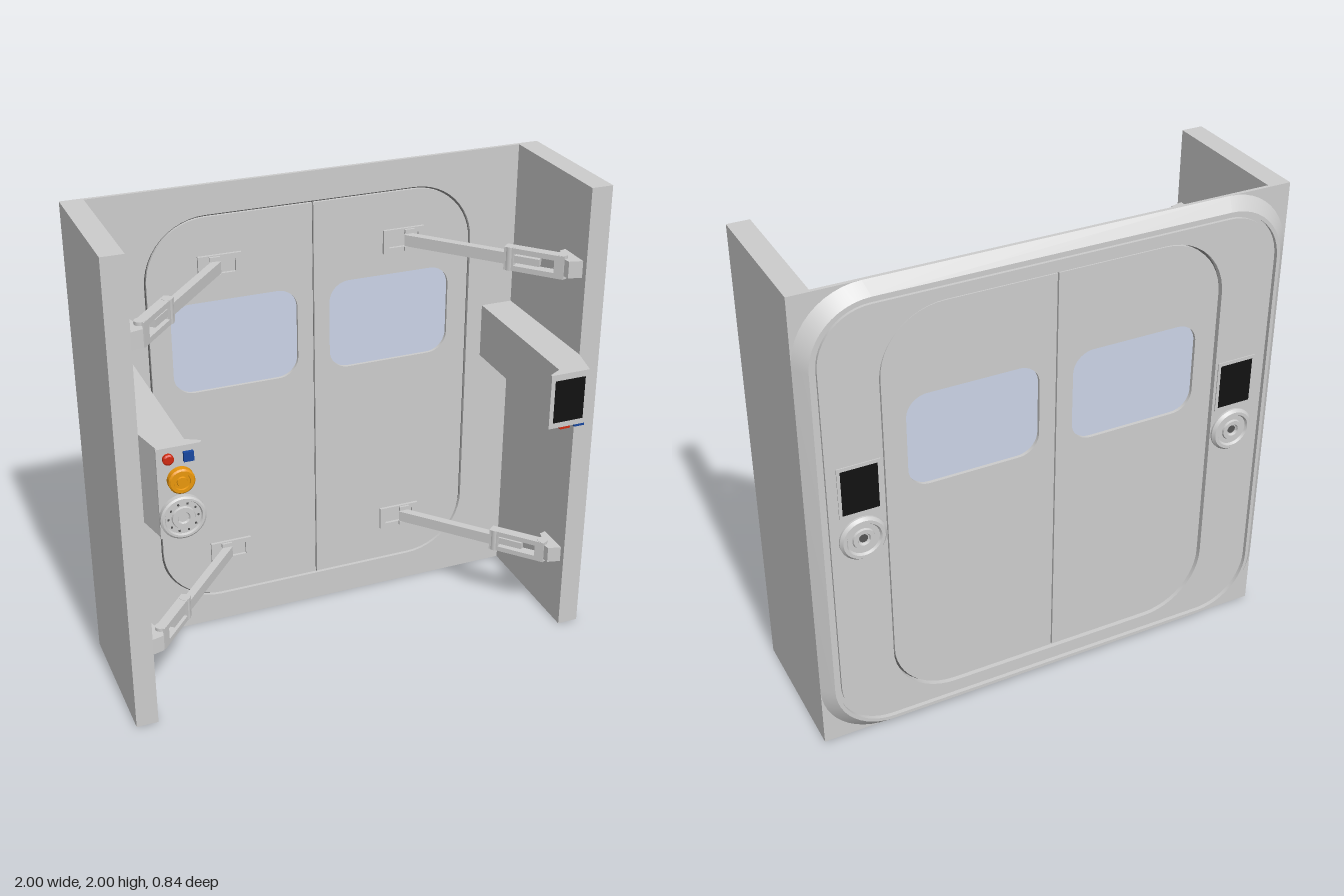
import * as THREE from 'three';
import { toCreasedNormals } from 'three/addons/utils/BufferGeometryUtils.js';

const paint = (color, extra = {}) => new THREE.MeshStandardMaterial({ color, ...extra });
const grey = paint(0xcccccc), dark = paint(0x555555), black = paint(0x111111);
const red = paint(0xd02a10), blue = paint(0x1848a0), orange = paint(0xe8960c), glass = paint(0xcad3e6);

function add(parent, name, geometry, material = grey, x = 0, y = 0, z = 0) {
  const mesh = new THREE.Mesh(geometry, material);
  mesh.name = name;
  mesh.position.set(x, y, z);
  parent.add(mesh);
  return mesh;
}

// Box given by its limits on each axis
function block(parent, name, x0, x1, y0, y1, z0, z1, material) {
  return add(parent, name, new THREE.BoxGeometry(Math.abs(x1 - x0), y1 - y0, z1 - z0), material,
    (x0 + x1) / 2, (y0 + y1) / 2, (z0 + z1) / 2);
}

// Rounded rectangle outline; radii are listed top right, top left, bottom left, bottom right
function rounded(x0, x1, y0, y1, r) {
  const radii = Array.isArray(r) ? r : [r, r, r, r], points = [];
  radii.forEach((rad, i) => {
    const right = i === 0 || i === 3, top = i < 2, n = rad ? 12 : 0;
    const cx = right ? x1 - rad : x0 + rad, cy = top ? y1 - rad : y0 + rad;
    for (let k = 0; k <= n; k++) {
      const a = (i + (n ? k / n : 0)) * Math.PI / 2;
      points.push(new THREE.Vector2(cx + rad * Math.cos(a), cy + rad * Math.sin(a)));
    }
  });
  return points;
}

// Flat sheet with holes, from z0 to z1
function sheet(outline, holes, z0, z1) {
  const shape = new THREE.Shape(outline);
  holes.forEach(h => shape.holes.push(new THREE.Path(h)));
  const g = new THREE.ExtrudeGeometry(shape, { depth: z1 - z0, bevelEnabled: false });
  return toCreasedNormals(g.translate(0, 0, z0), 0.5);
}

// Plan outline of [x, z] points raised from y0 to y1
function raise(plan, y0, y1) {
  const shape = new THREE.Shape(plan.map(([x, z]) => new THREE.Vector2(x, -z)));
  const g = new THREE.ExtrudeGeometry(shape, { depth: y1 - y0, bevelEnabled: false });
  return g.rotateX(-Math.PI / 2).translate(0, y0, 0);
}

// Skin through rounded square sections [half size, radius, z]
function loft(sections) {
  const pos = [], idx = [];
  const rings = sections.map(([h, r, z]) => {
    const ring = rounded(-h, h, 1 - h, 1 + h, r);
    ring.forEach(p => pos.push(p.x, p.y, z));
    return ring;
  });
  const n = rings[0].length;
  for (let i = 0; i < rings.length - 1; i++) for (let k = 0; k < n; k++) {
    const a = i * n + k, b = i * n + (k + 1) % n;
    idx.push(a, a + n, b, b, a + n, b + n);
  }
  const g = new THREE.BufferGeometry();
  g.setAttribute('position', new THREE.Float32BufferAttribute(pos, 3));
  g.setIndex(idx);
  return toCreasedNormals(g, 0.5);
}

// Round fitting turned from [radius, height], facing dir * z
function turned(profile, dir) {
  const g = new THREE.LatheGeometry(profile.map(p => new THREE.Vector2(...p)), 40);
  return toCreasedNormals(g.rotateX(dir * Math.PI / 2), 0.5);
}

// Hinge arm for the +x side, symmetric about y = 0
function hinge(name) {
  const g = new THREE.Group();
  g.name = name;
  add(g, 'doorBracket', sheet(rounded(0.305, 0.485, -0.05, 0.05, 0),
    [rounded(0.33, 0.46, -0.028, 0.028, 0)], -0.352, -0.335));
  for (const s of [-1, 1]) block(g, 'doorLug', 0.395, 0.44, s * 0.037 - 0.009, s * 0.037 + 0.009, -0.35, -0.325);
  const bar = (part, geometry, x, z) => {
    add(g, part, geometry, grey, x, 0, z).rotation.y = -Math.atan2(0.34, 0.3);
  };
  bar('arm', new THREE.BoxGeometry(0.47, 0.048, 0.035), 0.562, -0.163);
  bar('armFrame', sheet(rounded(-0.125, 0.125, -0.048, 0.048, 0),
    [rounded(-0.085, 0.085, -0.026, 0.026, 0)], -0.021, 0.021), 0.778, 0.08);
  bar('armTongue', new THREE.BoxGeometry(0.11, 0.03, 0.025), 0.755, 0.055);
  const pin = new THREE.CylinderGeometry(0.022, 0.022, 0.098, 20);
  add(g, 'wallPin', pin, grey, 0.853, 0, 0.16);
  add(g, 'elbowPin', pin, grey, 0.707, 0, 0.003);
  const plan = [[0.915, 0.08], [0.88, 0.09], [0.87, 0.13], [0.845, 0.15], [0.855, 0.21], [0.915, 0.225]];
  add(g, 'wallBracket', raise(plan, -0.035, 0.035));
  return g;
}

export function createModel() {
  const model = new THREE.Group();
  model.name = 'doubleDoorBulkhead';
  const opening = rounded(-0.703, 0.703, 0.13, 1.877, 0.26);

  // Wall around the doorway, bevelled rear rim and sunken groove
  add(model, 'frontSheet', sheet(rounded(-1, 1, 0, 2, 0), [opening], -0.36, -0.345));
  add(model, 'rearRim', loft([[1, 0.27, -0.36], [0.955, 0.24, -0.405], [0.94, 0.225, -0.405],
    [0.94, 0.225, -0.388], [0.925, 0.21, -0.388], [0.925, 0.21, -0.4]]));
  add(model, 'rearSheet', sheet(rounded(-0.925, 0.925, 0.075, 1.925, 0.21), [opening], -0.4, -0.36));
  add(model, 'doorSeal', sheet(opening, [rounded(-0.67, 0.67, 0.163, 1.844, 0.23)], -0.375, -0.36), dark);
  block(model, 'centreSeal', -0.015, 0.015, 0.15, 1.86, -0.375, -0.36, dark);

  for (const s of [-1, 1]) {
    const side = s > 0 ? 'left' : 'right';
    block(model, side + 'SideWall', s * 0.91, s, 0, 2, -0.345, 0.25);

    // Door leaf and window
    const span = (a, b) => (s > 0 ? [a, b] : [-b, -a]);
    const pane = rounded(...span(0.07, 0.605), 1.125, 1.515, 0.085);
    const radii = s > 0 ? [0.25, 0, 0, 0.25] : [0, 0.25, 0.25, 0];
    add(model, side + 'Door', sheet(rounded(...span(0.003, 0.694), 0.139, 1.868, radii), [pane], -0.39, -0.347));
    add(model, side + 'Window', sheet(pane, [], -0.376, -0.36), glass);

    // Two hinges per leaf
    for (const y of [0.345, 1.66]) {
      const h = hinge(side + (y > 1 ? 'Upper' : 'Lower') + 'Hinge');
      h.position.y = y;
      if (s < 0) h.rotation.z = Math.PI;
      model.add(h);
    }

    // Console box along the wall
    const plan = [[0.91, -0.345], [0.91, 0.25], [0.88, 0.385], [0.712, 0.385], [0.712, 0.375],
      [0.765, 0.345], [0.772, -0.345]].map(([x, z]) => [s * x, z]);
    add(model, side + 'Console', raise(plan, s > 0 ? 1.07 : 0.935, 1.305));

    // Rear display and round handle
    block(model, side + 'RearBezel', s * 0.8 - 0.085, s * 0.8 + 0.085, 1.085, 1.305, -0.404, -0.395);
    block(model, side + 'RearDisplay', s * 0.8 - 0.072, s * 0.8 + 0.072, 1.1, 1.29, -0.406, -0.4, black);
    add(model, side + 'RearHandle', turned([[0.093, 0], [0.093, 0.01], [0.083, 0.022], [0.07, 0.022], [0.064, 0.012],
      [0.045, 0.012], [0.042, 0.02], [0.026, 0.02], [0.022, 0.01], [0, 0.01]], -1), grey, s * 0.8, 0.98, -0.398);
    add(model, side + 'RearHub', turned([[0.017, 0], [0.017, 0.01], [0, 0.01]], -1), dark, s * 0.8, 0.98, -0.4);
  }

  // Console with the display
  block(model, 'consoleDisplay', 0.73, 0.862, 1.095, 1.278, 0.38, 0.388, black);
  block(model, 'redKey', 0.768, 0.812, 1.057, 1.07, 0.35, 0.38, red);
  block(model, 'blueKey', 0.832, 0.876, 1.057, 1.07, 0.35, 0.38, blue);

  // Console with buttons and dial
  block(model, 'controlPlate', -0.885, -0.718, 0.935, 1.305, 0.382, 0.39);
  add(model, 'redButton', turned([[0.021, 0], [0.021, 0.014], [0.015, 0.018], [0, 0.018]], 1), red, -0.842, 1.262, 0.388);
  block(model, 'blueButton', -0.785, -0.747, 1.243, 1.281, 0.388, 0.404, blue);
  add(model, 'stopButton', turned([[0.05, 0], [0.05, 0.026], [0.044, 0.032], [0.032, 0.032], [0.03, 0.026],
    [0.02, 0.026], [0.018, 0.032], [0, 0.032]], 1), orange, -0.8, 1.173, 0.388);
  add(model, 'dial', turned([[0.087, 0], [0.087, 0.022], [0.08, 0.027], [0.072, 0.027], [0.068, 0.018],
    [0.045, 0.018], [0.042, 0.026], [0.024, 0.026], [0.02, 0.018], [0, 0.018]], 1), grey, -0.8, 1.02, 0.388);
  for (let i = 0; i < 10; i++) {
    const a = i / 10 * Math.PI * 2;
    add(model, 'dialMark', new THREE.BoxGeometry(0.007, 0.007, 0.004), dark,
      -0.8 + 0.057 * Math.cos(a), 1.02 + 0.057 * Math.sin(a), 0.407);
  }
  return model;
}
